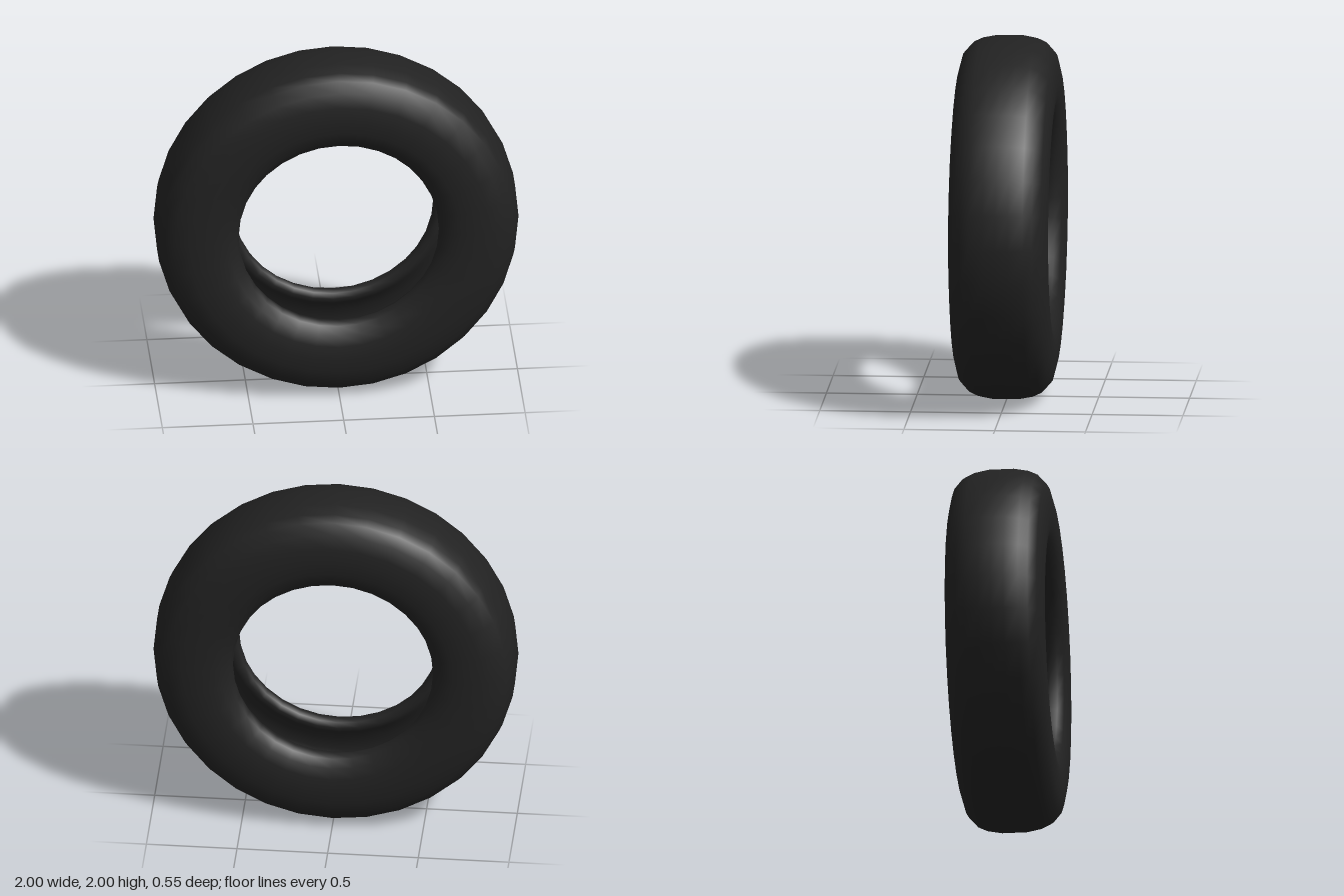
import * as THREE from 'three';

const rubber = new THREE.MeshStandardMaterial({ color: 0x222222 });
rubber.name = 'black rubber';

// Half cross-section as [radius, axial offset]: tread, sidewall, bead, hollow inside
const half = [
  [1.0, 0], [1.0, 0.07], [0.985, 0.15], [0.962, 0.2], [0.91, 0.247],
  [0.83, 0.268], [0.75, 0.275], [0.67, 0.27], [0.61, 0.25], [0.567, 0.217],
  [0.552, 0.18], [0.562, 0.148], [0.59, 0.135], [0.62, 0.145], [0.64, 0.17],
  [0.7, 0.205], [0.78, 0.22], [0.86, 0.2], [0.91, 0.14], [0.925, 0.06], [0.925, 0],
];

export function createModel() {
  const group = new THREE.Group();
  group.name = 'tyre';

  // Mirror the half section into one closed loop and spin it round the axle
  const mirrored = half.slice(0, -1).reverse().map(([r, a]) => [r, -a]);
  const loop = [...half, ...mirrored].map(([r, a]) => new THREE.Vector2(r, a));
  const geometry = new THREE.LatheGeometry(loop, 32);
  geometry.rotateX(Math.PI / 2);

  const tyre = new THREE.Mesh(geometry, rubber);
  tyre.name = 'tyreCasing';
  tyre.position.y = 1;
  group.add(tyre);
  return group;
}
